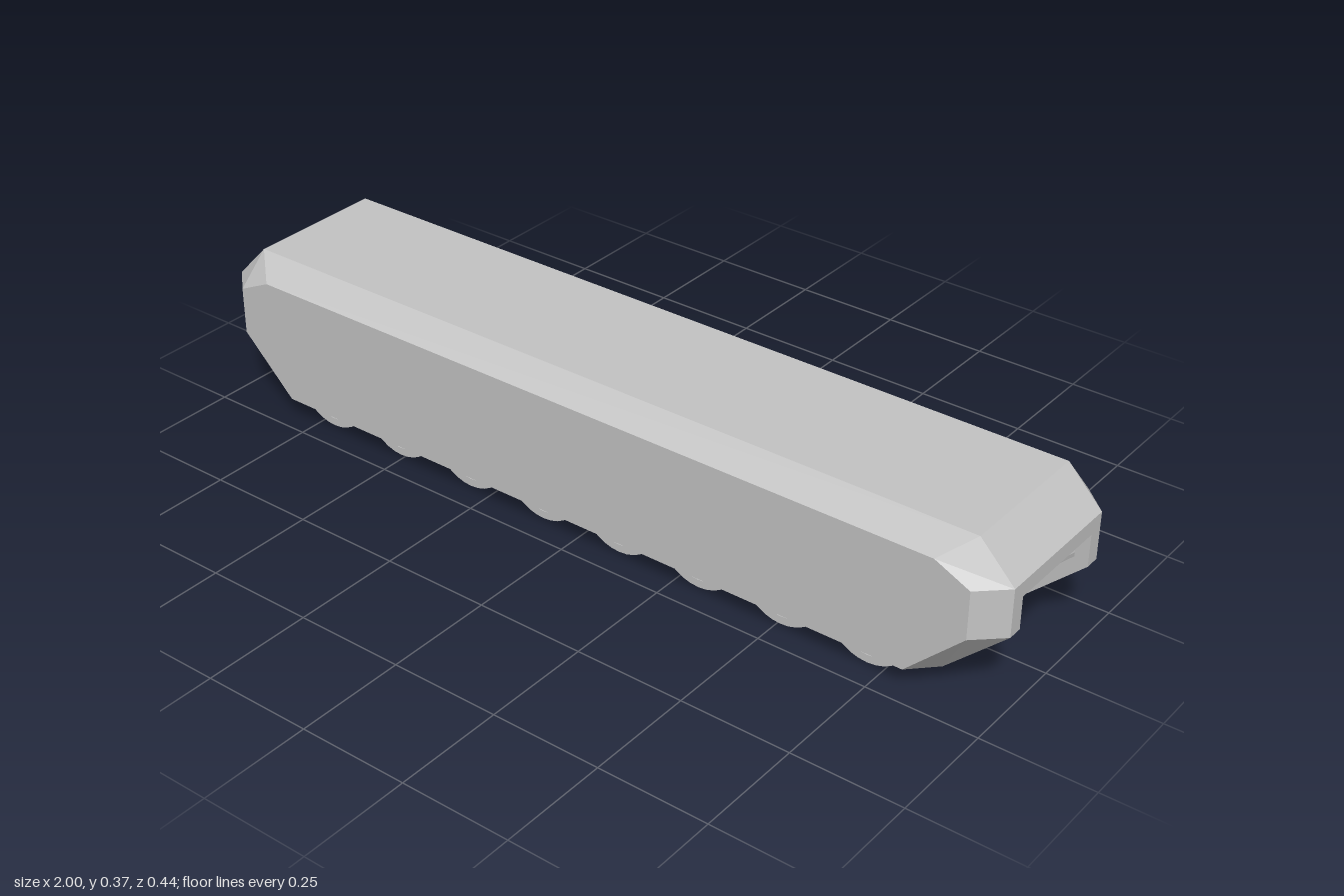
import * as THREE from 'three';

const grey = new THREE.MeshStandardMaterial({ color: 0xc4c4c4 });
const greyShell = grey;
greyShell.name = 'light grey';
grey.side = THREE.DoubleSide;

// Half-length outlines (x, y), going up the left end, along the roof and down the right end
const mirrorX = (half) => [...half, ...half.map(([x, y]) => [-x, y]).reverse()];
const core = mirrorX([[-0.865, 0.05], [-1, 0.178], [-1, 0.287], [-0.92, 0.37]]);
const side = mirrorX([[-0.81, 0.05], [-0.94, 0.178], [-0.94, 0.287], [-0.86, 0.325]]);
const CORE_Z = 0.162, SIDE_Z = 0.218, OFFSET_Z = 0.01;

function addMesh(group, name, geometry) {
  const mesh = new THREE.Mesh(geometry, grey);
  mesh.name = name;
  group.add(mesh);
  return mesh;
}

function flat(geometry) {
  const g = geometry.index ? geometry.toNonIndexed() : geometry;
  g.computeVertexNormals();
  return g;
}

// Extrude an outline along z between two depths
function slab(points, z0, z1) {
  const shape = new THREE.Shape(points.map(([x, y]) => new THREE.Vector2(x, y)));
  const g = new THREE.ExtrudeGeometry(shape, { depth: z1 - z0, bevelEnabled: false });
  return g.translate(0, 0, z0);
}

// Roof, bevels and flat side skirts
function shellGeometry() {
  const v = [];
  const tri = (...p) => p.forEach((q) => v.push(...q));
  const quad = (a, b, c, d) => tri(a, b, c, a, c, d);
  const A = (i, s) => [...core[i], s * CORE_Z];
  const B = (i, s) => [...side[i], s * SIDE_Z];
  for (let i = 0; i < 7; i++) {
    quad(B(i, 1), B(i + 1, 1), A(i + 1, 1), A(i, 1));
    quad(A(i, -1), A(i + 1, -1), B(i + 1, -1), B(i, -1));
    if (i >= 2 && i <= 4) quad(A(i, 1), A(i + 1, 1), A(i + 1, -1), A(i, -1));
    if (i > 0) {
      tri(B(0, 1), B(i + 1, 1), B(i, 1));
      tri(B(0, -1), B(i, -1), B(i + 1, -1));
    }
  }
  const g = new THREE.BufferGeometry();
  g.setAttribute('position', new THREE.Float32BufferAttribute(v, 3));
  return flat(g);
}

// Grooved drum with a centre seam and stepped hub recesses, axle along z
function wheelGeometry() {
  const half = [
    [0.098, 0], [0.1, 0.001], [0.1, 0.071], [0.08, 0.071], [0.08, 0.102], [0.1, 0.102],
    [0.1, 0.173], [0.082, 0.173], [0.082, 0.155], [0.066, 0.155], [0.066, 0.165],
    [0.046, 0.165], [0.046, 0.15], [0.026, 0.15], [0.026, 0.168], [0, 0.168],
  ];
  const profile = [...half.slice(1).reverse().map(([r, h]) => [r, -h]), ...half];
  const points = profile.map(([r, h]) => new THREE.Vector2(r, h));
  return flat(new THREE.LatheGeometry(points, 32).rotateX(Math.PI / 2));
}

export function createModel() {
  const model = new THREE.Group();
  model.name = 'trackUnit';

  addMesh(model, 'armourShell', shellGeometry());
  addMesh(model, 'leftInnerSkirt', slab(side, 0.196, SIDE_Z - 0.001));
  addMesh(model, 'rightInnerSkirt', slab(side, -SIDE_Z + 0.001, -0.196));

  // Closed end, and open end framed by two posts and a lintel
  const endWall = (s, top) => [
    [s, top], [s, 0.178], [s * 0.865, 0.05], [s * 0.83, 0.05], [s * 0.97, 0.19], [s * 0.97, top],
  ];
  addMesh(model, 'closedEnd', slab(endWall(-1, 0.287), -CORE_Z, CORE_Z));
  const post = endWall(1, 0.252);
  addMesh(model, 'openEndPost', slab(post, 0.128, CORE_Z));
  addMesh(model, 'openEndPost', slab(post, -CORE_Z, -0.128));
  const lintel = [[0.97, 0.252], [1, 0.252], [1, 0.287], [0.97, 0.287]];
  addMesh(model, 'openEndLintel', slab(lintel, -CORE_Z, CORE_Z));

  // Eight road wheels and a raised wheel at each end
  const wheel = wheelGeometry();
  for (let i = 0; i < 8; i++) {
    addMesh(model, 'roadWheel', wheel).position.set(-0.715 + i * 0.2036, 0.1, OFFSET_Z);
  }
  for (const s of [-1, 1]) {
    addMesh(model, 'endWheel', wheel).position.set(s * 0.865, 0.237, OFFSET_Z);
  }
  return model;
}
